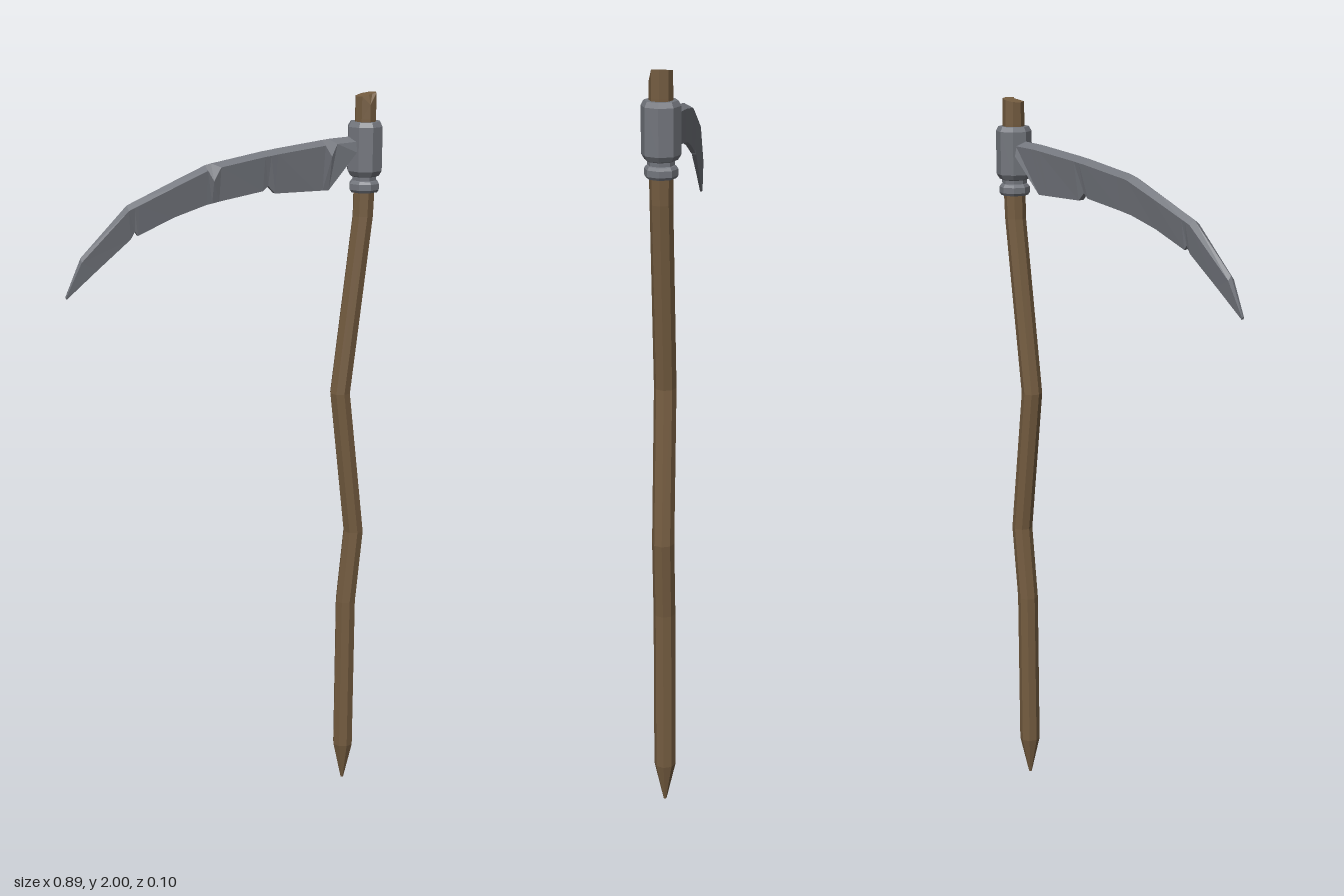
import * as THREE from 'three';

// Skin a list of equal-length closed rings, capped at both ends
function loft(rings) {
  const n = rings[0].length, index = [];
  for (let i = 0; i < rings.length - 1; i++) {
    for (let j = 0; j < n; j++) {
      const a = i * n + j, b = i * n + (j + 1) % n;
      index.push(a, b, b + n, a, b + n, a + n);
    }
  }
  const last = (rings.length - 1) * n;
  for (let k = 1; k < n - 1; k++) {
    index.push(0, k + 1, k, last, last + k, last + k + 1);
  }
  const geo = new THREE.BufferGeometry();
  geo.setAttribute('position', new THREE.Float32BufferAttribute(rings.flat(2), 3));
  geo.setIndex(index);
  const flat = geo.toNonIndexed();
  flat.computeVertexNormals();
  return flat;
}

// Horizontal octagon, with a corner on each axis
function octagon(x, y, r) {
  return Array.from({ length: 8 }, (_, k) => {
    const a = k * Math.PI / 4;
    return [x + r * Math.sin(a), y, r * Math.cos(a)];
  });
}

export function createModel() {
  const wood = new THREE.MeshStandardMaterial({ color: 0x745c40, flatShading: true });
  wood.name = 'wood';
  const steel = new THREE.MeshStandardMaterial({ color: 0x73767d, flatShading: true });
  steel.name = 'steel';

  const model = new THREE.Group();
  const add = (name, geo, mat) => {
    const mesh = new THREE.Mesh(geo, mat);
    mesh.name = name;
    model.add(mesh);
    return mesh;
  };

  // Crooked pole: centre x, height, radius
  const rings = [
    [0.366, 0, 0.004], [0.366, 0.11, 0.029], [0.366, 0.56, 0.029],
    [0.386, 0.77, 0.029], [0.337, 1.18, 0.029], [0.395, 1.67, 0.029],
    [0.397, 1.75, 0.03], [0.397, 1.93, 0.03], [0.397, 1.99, 0.029], [0.397, 1.995, 0.018],
  ].map(p => octagon(...p));
  // Slightly slanted top with a chip at the front
  for (const ring of rings.slice(-2)) {
    for (const p of ring) p[1] = 1.994 + (p[0] - 0.397) * 0.2;
  }
  rings[rings.length - 2][0][1] -= 0.025;
  add('pole', loft(rings), wood);

  // Eight-sided collar with a separate lower ring on one profile
  const profile = [
    [0.03, 1.735], [0.037, 1.735], [0.042, 1.742], [0.042, 1.758], [0.037, 1.765],
    [0.034, 1.767], [0.034, 1.777], [0.041, 1.78], [0.049, 1.793], [0.049, 1.91],
    [0.042, 1.923], [0.028, 1.923],
  ].map(([r, y]) => new THREE.Vector2(r, y));
  add('collar', new THREE.LatheGeometry(profile, 8), steel).position.x = 0.397;

  // Blade stations, tip to heel:
  // spine x, y, edge x, y, half thickness at spine, at edge, depth of chip
  const stations = [
    [-0.447, 1.512, -0.445, 1.505, 0.004, 0.003, 0],
    [-0.405, 1.61, -0.36, 1.576, 0.011, 0.004, 0],
    [-0.278, 1.738, -0.27, 1.65, 0.018, 0.006, 0],
    [-0.262, 1.745, -0.258, 1.67, 0.018, 0.006, 0],
    [-0.25, 1.75, -0.25, 1.658, 0.0185, 0.006, 0],
    [-0.15, 1.793, -0.15, 1.7, 0.021, 0.007, 0],
    [-0.062, 1.83, -0.062, 1.727, 0.023, 0.008, 0],
    [-0.045, 1.834, -0.045, 1.73, 0.023, 0.008, 0.032],
    [-0.025, 1.837, -0.025, 1.734, 0.023, 0.008, 0],
    [0.098, 1.858, 0.098, 1.754, 0.025, 0.009, 0],
    [0.115, 1.86, 0.113, 1.767, 0.025, 0.009, 0],
    [0.135, 1.863, 0.133, 1.746, 0.025, 0.009, 0],
    [0.27, 1.879, 0.25, 1.746, 0.026, 0.01, 0],
    [0.289, 1.881, 0.27, 1.746, 0.026, 0.01, 0.032],
    [0.304, 1.882, 0.288, 1.746, 0.026, 0.01, 0],
    [0.36, 1.885, 0.36, 1.845, 0.026, 0.03, 0],
  ];
  const sections = stations.map(([tx, ty, bx, by, w, e, chip]) => {
    const s = Math.min(0.012, (ty - by) * 0.3);
    return [
      [tx, ty, 0], [tx, ty - s - chip, w], [bx, by, e], [bx, by, -e], [tx, ty - s, -w],
    ];
  });
  add('blade', loft(sections), steel);

  return model;
}
